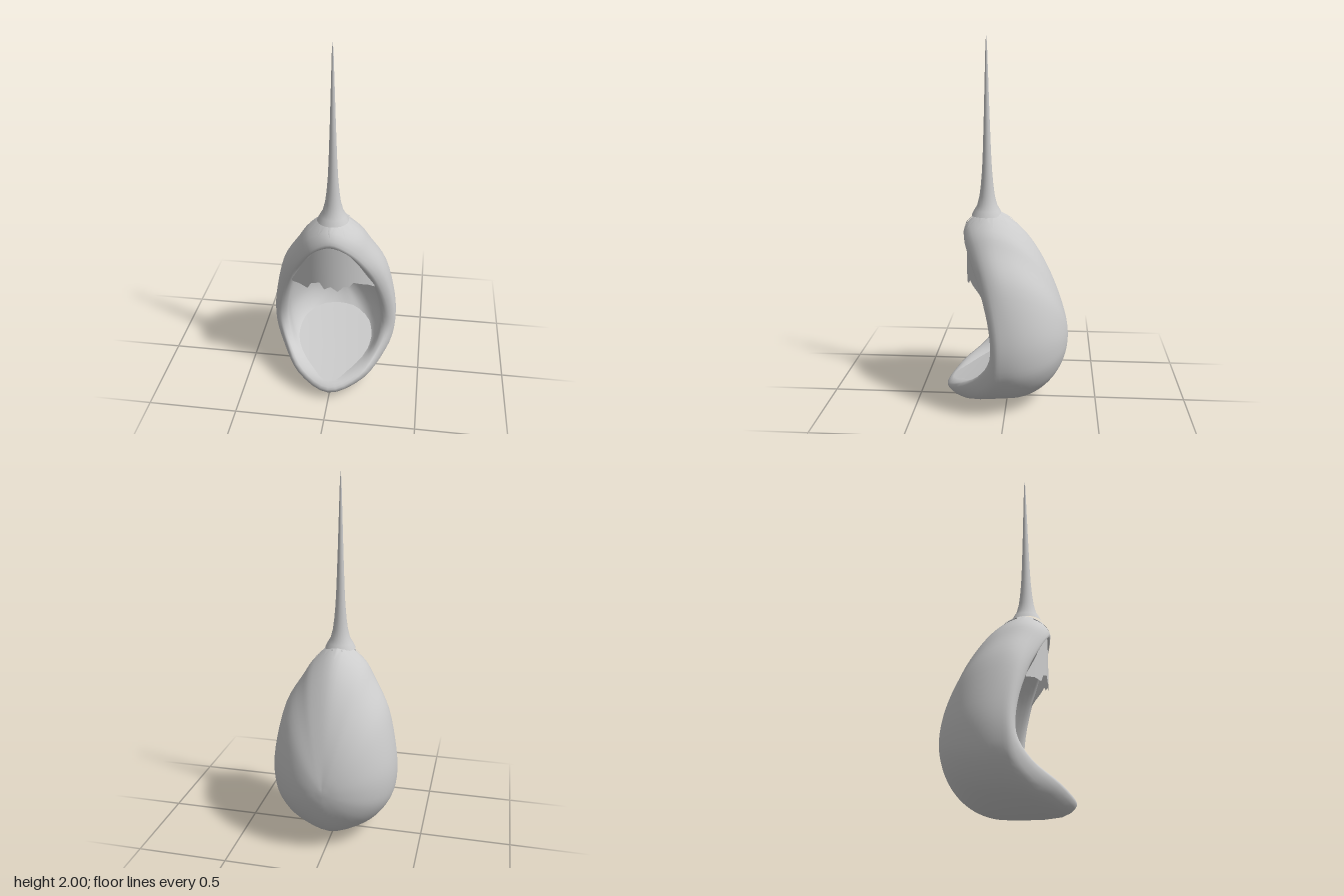
import * as THREE from 'three';
import { mergeVertices } from 'three/addons/utils/BufferGeometryUtils.js';

const V = (x, y, z) => new THREE.Vector3(x, y, z);

// Smooth surface from a function of (row, column)
function gridGeometry(rows, cols, point) {
  const pos = [], index = [];
  for (let i = 0; i <= rows; i++)
    for (let j = 0; j <= cols; j++) pos.push(...point(i, j).toArray());
  for (let i = 0; i < rows; i++)
    for (let j = 0; j < cols; j++) {
      const a = i * (cols + 1) + j, c = a + cols + 1;
      index.push(a, a + 1, c, a + 1, c + 1, c);
    }
  const g = new THREE.BufferGeometry();
  g.setAttribute('position', new THREE.Float32BufferAttribute(pos, 3));
  g.setIndex(index);
  const merged = mergeVertices(g, 1e-5);
  merged.computeVertexNormals();
  return merged;
}

// Piecewise linear lookup in [x, y] pairs
function lookup(pairs, x) {
  let k = 0;
  while (k < pairs.length - 2 && x > pairs[k + 1][0]) k++;
  const [x0, y0] = pairs[k], [x1, y1] = pairs[k + 1];
  return y0 + (y1 - y0) * (x - x0) / (x1 - x0);
}

// Closed, mirrored loop through half-outline points running from top to bottom
function loop(half) {
  const pts = half.map(p => V(...p));
  for (let i = half.length - 2; i > 0; i--) pts.push(V(-half[i][0], half[i][1], half[i][2]));
  return new THREE.CatmullRomCurve3(pts, true, 'catmullrom', 0.5);
}

const widest = loop([[0, 1.08, .11], [.13, 1, .1], [.2, .9, .08], [.29, .74, .04], [.342, .5, 0],
  [.348, .33, 0], [.31, .2, 0], [.2, .08, 0], [0, 0, 0]]);
const shoulder = loop([[0, 1.02, .215], [.115, .97, .19], [.195, .87, .145], [.28, .71, .1], [.335, .5, .055],
  [.343, .33, .05], [.305, .19, .08], [.195, .07, .2], [0, .02, .3]]);
const rim = loop([[0, .965, .238], [.09, .92, .225], [.165, .83, .185], [.235, .69, .13], [.295, .5, .08],
  [.31, .34, .075], [.265, .225, .145], [.17, .13, .272], [0, .07, .345]]);
const mouth = loop([[0, .94, .215], [.09, .9, .2], [.15, .81, .165], [.215, .68, .115], [.26, .5, .07],
  [.27, .34, .065], [.225, .21, .13], [.125, .14, .25], [0, .108, .31]]);

// Point on the arc that closes a loop point towards a pole
function dome(p, pole, angle, power) {
  const k = angle > 1.57 ? 0 : Math.cos(angle) ** power;
  return V(p.x * k, pole.y + (p.y - pole.y) * k, p.z + (pole.z - p.z) * Math.sin(angle));
}

// Hollow pod: outer back, rolled rim and inner cavity as one skin
function podGeometry() {
  const around = 64, along = 56, steps = 7;
  const back = V(0, .38, -.34), innerBack = V(0, .45, -.24);
  const profiles = [];
  for (let i = 0; i < around; i++) {
    const t = i / around, o = widest.getPoint(t), m = mouth.getPoint(t), pts = [];
    const power = 1 + .5 * Math.max(0, (o.y - .38) / .7) ** 2;
    for (let k = steps; k > 0; k--) pts.push(dome(o, back, k / steps * Math.PI / 2, power));
    pts.push(o, shoulder.getPoint(t), rim.getPoint(t), m);
    for (let k = 1; k <= steps; k++) pts.push(dome(m, innerBack, k / steps * Math.PI / 2, 1));
    profiles.push(new THREE.CatmullRomCurve3(pts, false, 'centripetal').getPoints(along));
  }
  return gridGeometry(around, along, (i, j) => profiles[i % around][j]);
}

export function createModel() {
  const group = new THREE.Group();
  const solid = new THREE.MeshStandardMaterial({ color: 0xcccccc });
  const thin = new THREE.MeshStandardMaterial({ color: 0xcccccc, side: THREE.DoubleSide });
  const add = (name, geometry, material) => {
    const mesh = new THREE.Mesh(geometry, material);
    mesh.name = name;
    group.add(mesh);
    return mesh;
  };

  const pod = add('pod', podGeometry(), solid);

  // Sloping floor inside the cavity
  add('floor', gridGeometry(32, 6, (i, j) => {
    const a = i / 32 * Math.PI * 2, r = j / 6;
    const z = .06 + .25 * r * Math.cos(a);
    return V(.235 * r * Math.sin(a), .23 - .39 * z - .01 * (1 - r * r), z);
  }), thin);

  // Torn curtain hanging in the top of the opening
  const tornEdge = [[-.235, .65], [-.18, .665], [-.13, .66], [-.11, .7], [-.06, .72], [-.035, .68], [0, .7],
    [.04, .67], [.07, .7], [.1, .695], [.12, .72], [.17, .695], [.2, .68], [.235, .65]];
  const topEdge = [[0, .948], [.05, .937], [.09, .908], [.15, .82], [.215, .695], [.235, .655]];
  add('curtain', gridGeometry(80, 5, (i, j) => {
    const x = -.23 + .46 * i / 80, low = lookup(tornEdge, x);
    const high = Math.max(low, lookup(topEdge, Math.abs(x)));
    return V(x, low + (high - low) * j / 5, .222 - 1.95 * x * x);
  }), thin);

  // Tapering stem
  const stemProfile = [[.085, 1.055], [.07, 1.085], [.055, 1.11], [.042, 1.16], [.034, 1.22], [.027, 1.3],
    [.022, 1.4], [.015, 1.6], [.009, 1.8], [.004, 1.96], [0, 2]];
  const stem = add('stem', new THREE.LatheGeometry(stemProfile.map(p => new THREE.Vector2(...p)), 20), solid);
  stem.position.z = .11;

  // Ten-pointed calyx draped over the top of the pod
  const ray = new THREE.Raycaster();
  pod.updateMatrixWorld();
  add('calyx', gridGeometry(80, 8, (i, j) => {
    const a = i / 80 * Math.PI * 2, tooth = Math.abs((i % 8) / 4 - 1);
    const reach = (.083 + .064 * tooth ** 1.4) * (1 - .08 * (1 + Math.cos(a)));
    const r = .04 + (reach - .04) * j / 8;
    const x = r * Math.sin(a), z = .11 + r * Math.cos(a);
    ray.set(V(x, 3, z), V(0, -1, 0));
    const hit = ray.intersectObject(pod)[0];
    return V(x, (hit ? Math.max(hit.point.y, .96) : .97) + .008, z);
  }), thin);

  return group;
}
